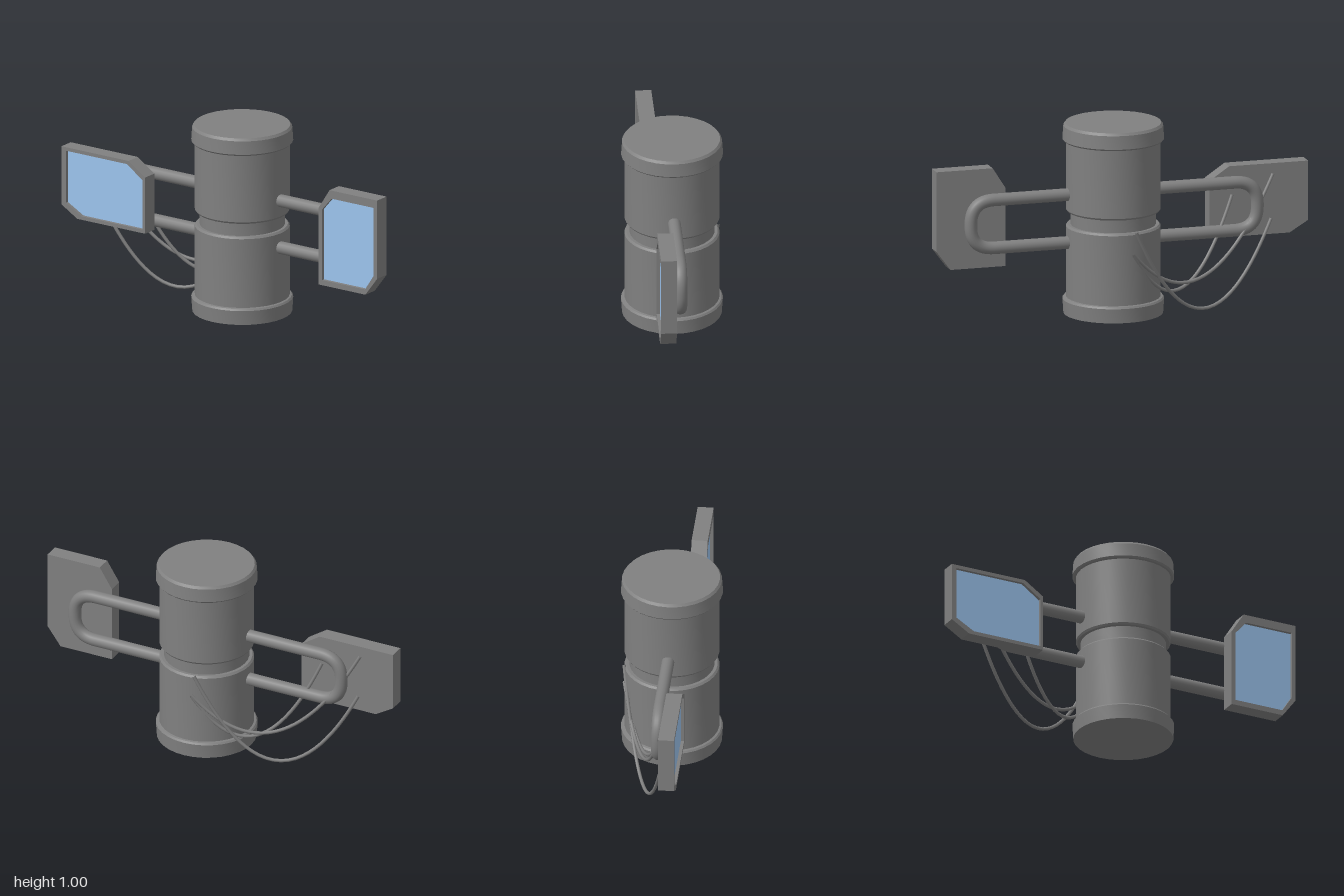
import * as THREE from 'three';
import { toCreasedNormals } from 'three/addons/utils/BufferGeometryUtils.js';

const grey = new THREE.MeshStandardMaterial({ color: 0x808080 });
const blue = new THREE.MeshStandardMaterial({ color: 0x9cc4ee });
const BODY_X = 0.06;

function part(name, geometry, material = grey) {
  const mesh = new THREE.Mesh(geometry, material);
  mesh.name = name;
  return mesh;
}

// Rectangle with two opposite corners cut; a and b are [dx, dy] of the lower and upper cut.
// cutLeftBottom: cuts lower left + upper right, otherwise lower right + upper left.
function cutRect([x0, x1, y0, y1], a, b, cutLeftBottom) {
  const pts = cutLeftBottom
    ? [[x0 + a[0], y0], [x1, y0], [x1, y1 - b[1]], [x1 - b[0], y1], [x0, y1], [x0, y0 + a[1]]]
    : [[x0, y0], [x1 - a[0], y0], [x1, y0 + a[1]], [x1, y1], [x0 + b[0], y1], [x0, y1 - b[1]]];
  return pts.map(([x, y]) => new THREE.Vector2(x, y));
}

function slab(shape, z0, z1) {
  return new THREE.ExtrudeGeometry(shape, { depth: z1 - z0, bevelEnabled: false }).translate(0, 0, z0);
}

// Panel: solid back, raised rim and recessed pane
function panel(name, outer, inner) {
  const group = new THREE.Group();
  group.name = name;
  const rim = new THREE.Shape(outer);
  rim.holes.push(new THREE.Path(inner));
  group.add(
    part('panelBack', slab(new THREE.Shape(outer), 0.036, 0.1)),
    part('panelRim', slab(rim, 0.1, 0.119)),
    part('panelPane', new THREE.ShapeGeometry(new THREE.Shape(inner)).translate(0, 0, 0.102), blue)
  );
  return group;
}

// U-shaped handle running from inside the body out to xEnd
function handle(name, xEnd) {
  const s = Math.sign(xEnd), r = 0.122, top = 0.637, bottom = 0.383;
  const v = (x, y) => new THREE.Vector3(x, y, 0.004);
  const xs = BODY_X + s * 0.2, xc = xEnd - s * r;
  const path = new THREE.CurvePath();
  path.add(new THREE.LineCurve3(v(xs, top), v(xc, top)));
  path.add(new THREE.QuadraticBezierCurve3(v(xc, top), v(xEnd, top), v(xEnd, top - r)));
  path.add(new THREE.LineCurve3(v(xEnd, top - r), v(xEnd, bottom + r)));
  path.add(new THREE.QuadraticBezierCurve3(v(xEnd, bottom + r), v(xEnd, bottom), v(xc, bottom)));
  path.add(new THREE.LineCurve3(v(xc, bottom), v(xs, bottom)));
  return part(name, new THREE.TubeGeometry(path, 96, 0.033, 16));
}

export function createModel() {
  const model = new THREE.Group();
  model.name = 'canisterWithPanels';

  // Body: two drums, a narrow neck and flared end caps
  const profile = [
    [0, 0], [0.258, 0], [0.263, 0.076], [0.256, 0.085], [0.245, 0.088],
    [0.245, 0.459], [0.236, 0.469], [0.22, 0.469], [0.22, 0.54], [0.238, 0.54],
    [0.245, 0.55], [0.245, 0.911], [0.256, 0.913], [0.263, 0.921],
    [0.258, 0.992], [0.248, 1.005], [0, 1.005]
  ].map(([r, y]) => new THREE.Vector2(r, y));
  const body = part('body', toCreasedNormals(new THREE.LatheGeometry(profile, 32), 0.4));
  body.position.x = BODY_X;
  model.add(body);

  // Handles
  model.add(handle('leftHandle', 0.825), handle('rightHandle', -0.717));

  // Panels
  model.add(
    panel('rightPanel',
      cutRect([-1, -0.47, 0.342, 0.716], [0.1, 0.06], [0.105, 0.07], true),
      cutRect([-0.972, -0.485, 0.361, 0.697], [0.1, 0.055], [0.1, 0.07], true)),
    panel('leftPanel',
      cutRect([0.628, 1, 0.274, 0.797], [0.075, 0.1], [0.07, 0.11], false),
      cutRect([0.651, 0.978, 0.302, 0.753], [0.055, 0.085], [0.06, 0.07], false))
  );

  // Hanging cables: panel end, sag control height, body end
  const cables = [
    [[-0.81, 0.66], -0.15, [0.025, 0.358]],
    [[-0.59, 0.565], -0.2, [0.025, 0.353]],
    [[-0.8, 0.425], -0.43, [0.01, 0.472]]
  ];
  for (const [a, sag, b] of cables) {
    const curve = new THREE.QuadraticBezierCurve3(
      new THREE.Vector3(a[0], a[1], 0.035),
      new THREE.Vector3((a[0] + b[0]) / 2, sag, -0.104),
      new THREE.Vector3(b[0], b[1], -0.243));
    model.add(part('cable', new THREE.TubeGeometry(curve, 32, 0.009, 8)));
  }
  return model;
}
